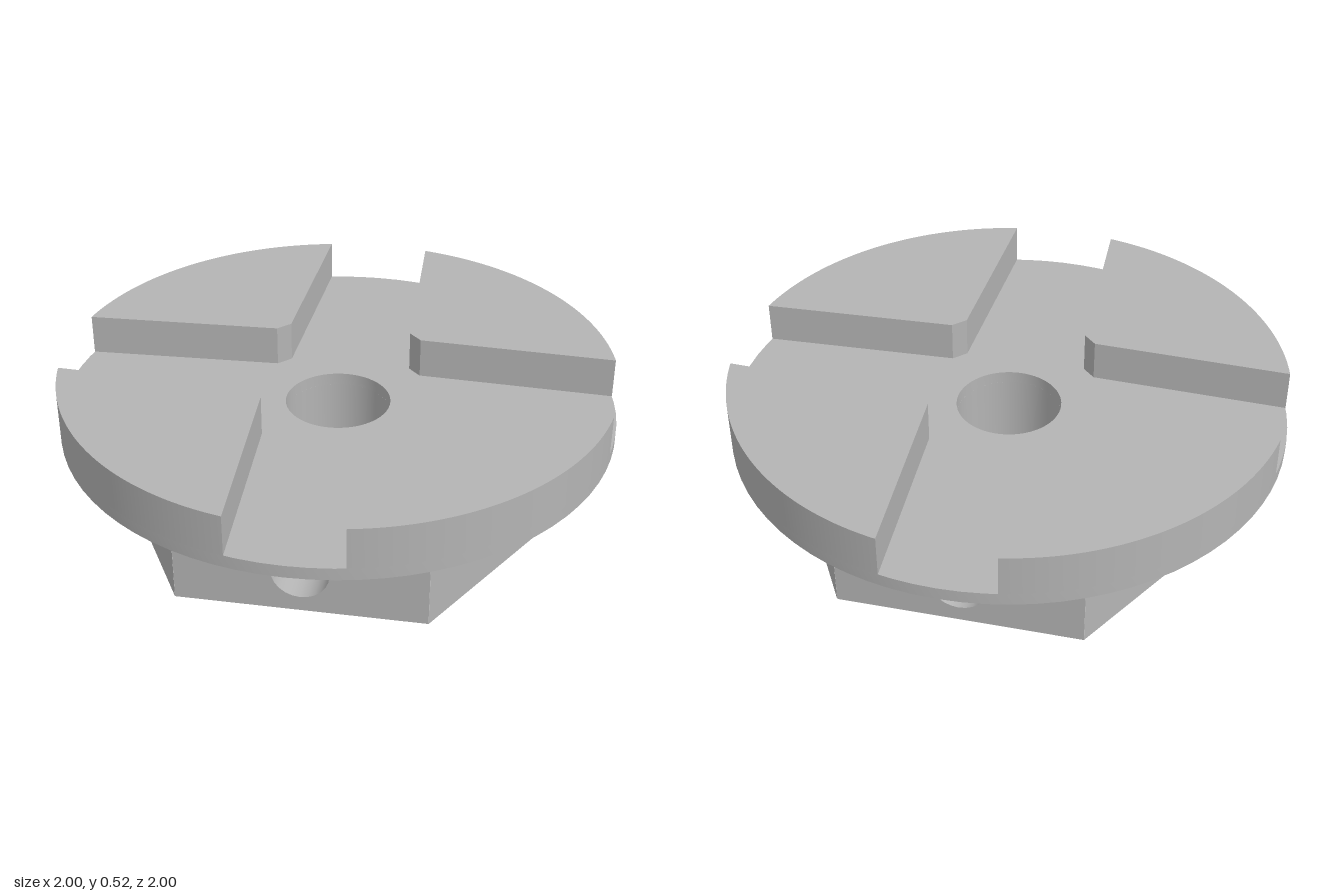
import * as THREE from 'three';
import { toCreasedNormals } from 'three/addons/utils/BufferGeometryUtils.js';

const BORE = 0.19, HEX_R = 0.865, APOTHEM = 0.75, HEX_TOP = 0.33, FLOOR = 0.375, TOP = 0.525;
const PIN_R = 0.1, PIN_Y = 0.155, PIN_DEPTH = 0.3;

const circle = (x, y, r) => new THREE.Path().absarc(x, y, r, 0, Math.PI * 2, true);

// Extrudes a plan shape upwards between two heights, with smooth curved walls
function slab(shape, y0, y1) {
  const geo = new THREE.ExtrudeGeometry(shape, { depth: y1 - y0, bevelEnabled: false, curveSegments: 40 });
  geo.rotateX(-Math.PI / 2).translate(0, y0, 0);
  return toCreasedNormals(geo, 0.5);
}

export function createModel() {
  const model = new THREE.Group();
  const grey = new THREE.MeshStandardMaterial({ color: 0xb4b4b4, side: THREE.DoubleSide });
  grey.name = 'plain grey';

  function add(name, geometry, parent = model) {
    const mesh = new THREE.Mesh(geometry, grey);
    mesh.name = name;
    parent.add(mesh);
    return mesh;
  }

  // Hexagonal base: underside, six walls and the lower bore
  const base = new THREE.Group();
  base.name = 'hexBase';
  model.add(base);

  const hex = new THREE.Shape();
  for (let i = 0; i < 6; i++) {
    const a = (i * Math.PI) / 3;
    const p = [HEX_R * Math.cos(a), HEX_R * Math.sin(a)];
    if (i) hex.lineTo(...p);
    else hex.moveTo(...p);
  }
  hex.closePath();
  hex.holes.push(circle(0, 0, BORE));
  add('underside', new THREE.ShapeGeometry(hex, 24).rotateX(Math.PI / 2), base);
  add('lowerBore', new THREE.CylinderGeometry(BORE, BORE, HEX_TOP, 48, 1, true).translate(0, HEX_TOP / 2, 0), base);

  for (let i = 0; i < 6; i++) {
    const side = new THREE.Group();
    side.name = 'hexSide';
    side.rotation.y = (i * Math.PI) / 3;
    base.add(side);

    const w = HEX_R / 2;
    const wall = new THREE.Shape([
      new THREE.Vector2(-w, 0), new THREE.Vector2(w, 0),
      new THREE.Vector2(w, HEX_TOP), new THREE.Vector2(-w, HEX_TOP),
    ]);
    // Blind pin holes in the front and back walls only
    if (i % 3 === 0) {
      wall.holes.push(circle(0, PIN_Y, PIN_R));
      const tube = new THREE.CylinderGeometry(PIN_R, PIN_R, PIN_DEPTH, 24, 1, true);
      tube.rotateX(Math.PI / 2).translate(0, PIN_Y, APOTHEM - PIN_DEPTH / 2);
      add('pinHole', tube, side);
      add('pinHoleEnd', new THREE.CircleGeometry(PIN_R, 24).translate(0, PIN_Y, APOTHEM - PIN_DEPTH), side);
    }
    add('wall', new THREE.ShapeGeometry(wall, 12).translate(0, 0, APOTHEM), side);
  }

  // Round flange, whose top is the floor of the crossed slots
  const disc = new THREE.Shape().absarc(0, 0, 1, 0, Math.PI * 2, false);
  disc.holes.push(circle(0, 0, BORE));
  add('flange', slab(disc, HEX_TOP, FLOOR));

  // Four raised quadrants with tapered slot walls and chamfered inner corners
  const a0 = Math.asin(0.195);
  const quadrant = new THREE.Shape();
  quadrant.moveTo(0.225, 0.27);
  quadrant.lineTo(0.27, 0.225);
  quadrant.lineTo(Math.cos(a0), Math.sin(a0));
  quadrant.absarc(0, 0, 1, a0, Math.PI / 2 - a0, false);
  quadrant.closePath();
  const quadrantGeo = slab(quadrant, FLOOR, TOP);
  for (let i = 0; i < 4; i++) {
    add('raisedQuadrant', quadrantGeo).rotation.y = (i * Math.PI) / 2;
  }
  return model;
}
